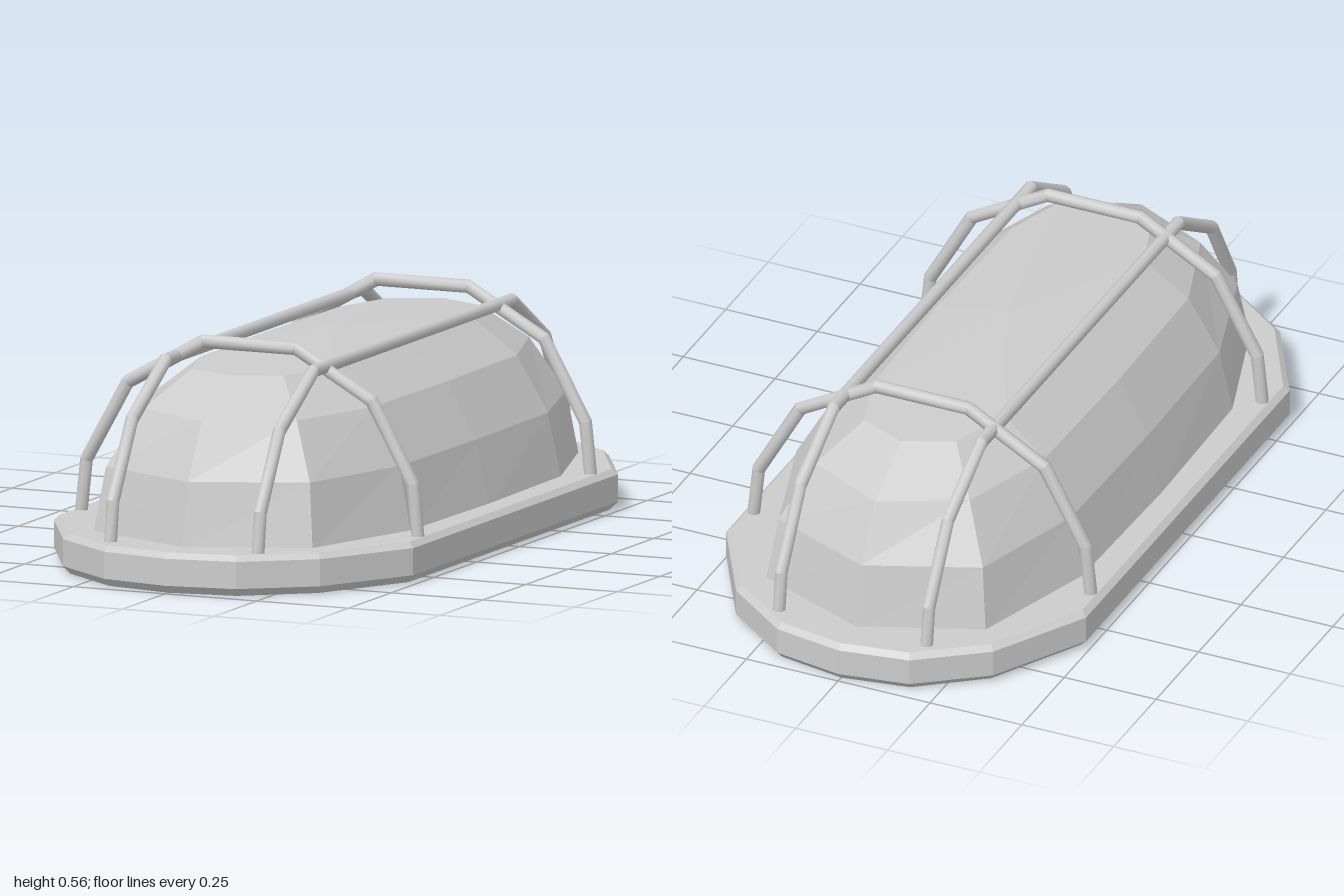
import * as THREE from 'three';

const flatGrey = new THREE.MeshStandardMaterial({ color: 0xcccccc, flatShading: true });
const smoothGrey = new THREE.MeshStandardMaterial({ color: 0xcccccc });

// Mirrors a quarter outline of [x, z] points (front to right side) into a closed loop.
function mirrorOutline(quarter) {
  const right = [...quarter];
  for (const [x, z] of [...quarter].reverse()) if (z > 0) right.push([x, -z]);
  const left = right.filter(([x]) => x > 0).reverse().map(([x, z]) => [-x, z]);
  return [...right, ...left];
}

function makeGeometry(positions, index) {
  const geometry = new THREE.BufferGeometry();
  geometry.setAttribute('position', new THREE.Float32BufferAttribute(positions, 3));
  geometry.setIndex(index);
  geometry.computeVertexNormals();
  return geometry;
}

// Skins rings { y, outline } from bottom to top and closes both ends with fans.
function loft(rings, topY) {
  const n = rings[0].outline.length;
  const positions = [];
  const index = [];
  for (const { y, outline } of rings) for (const [x, z] of outline) positions.push(x, y, z);
  const bottom = positions.length / 3;
  const top = bottom + 1;
  positions.push(0, rings[0].y, 0, 0, topY, 0);
  const last = (rings.length - 1) * n;
  for (let i = 0; i < n; i++) {
    const j = (i + 1) % n;
    for (let r = 0; r < last; r += n) {
      index.push(r + i, r + j, r + n + j, r + i, r + n + j, r + n + i);
    }
    index.push(bottom, j, i, top, last + i, last + j);
  }
  return makeGeometry(positions, index);
}

// Round bar along an open path in the XY plane, with mitred corners.
function mitredBar(path, radius, sides = 8) {
  const points = path.map(([x, y]) => new THREE.Vector2(x, y));
  const dirs = points.slice(1).map((p, i) => p.clone().sub(points[i]).normalize());
  const positions = [];
  const index = [];
  const addRing = (k) => {
    const before = dirs[Math.max(k - 1, 0)];
    const after = dirs[Math.min(k, dirs.length - 1)];
    const t = before.clone().add(after).normalize();
    const stretch = radius / t.dot(after);
    for (let s = 0; s < sides; s++) {
      const a = (s / sides) * Math.PI * 2;
      const m = Math.cos(a) * stretch;
      positions.push(points[k].x - t.y * m, points[k].y + t.x * m, Math.sin(a) * radius);
    }
  };
  // Each straight run has its own rings, so the bends stay crisp.
  dirs.forEach((_, k) => {
    const base = positions.length / 3;
    addRing(k);
    addRing(k + 1);
    for (let s = 0; s < sides; s++) {
      const a = base + s;
      const b = base + ((s + 1) % sides);
      index.push(a, b, b + sides, a, b + sides, a + sides);
    }
  });
  return makeGeometry(positions, index);
}

// Completes half an arch (foot to crown) by mirroring it, running -x to +x.
function arch(half) {
  return [...half.map(([x, y]) => [-x, y]), ...[...half].reverse()];
}

export function createModel() {
  const model = new THREE.Group();
  const add = (name, geometry, material) => {
    const mesh = new THREE.Mesh(geometry, material);
    mesh.name = name;
    model.add(mesh);
    return mesh;
  };

  // Base plate with bevelled rims
  const plate = mirrorOutline([[0, 1], [0.18, 0.97], [0.35, 0.845], [0.49, 0.6]]);
  const inset = (d) => plate.map(([x, z]) => [x * (1 - d / 0.49), z * (1 - d)]);
  add('basePlate', loft([
    { y: 0, outline: inset(0.018) },
    { y: 0.02, outline: plate },
    { y: 0.088, outline: plate },
    { y: 0.102, outline: inset(0.014) },
  ], 0.102), flatGrey);

  // Faceted lamp cover
  add('lampCover', loft([
    { y: 0.09, outline: mirrorOutline([[0, 0.9], [0.3, 0.78], [0.41, 0.44], [0.42, 0]]) },
    { y: 0.26, outline: mirrorOutline([[0, 0.865], [0.278, 0.75], [0.375, 0.435], [0.382, 0]]) },
    { y: 0.4, outline: mirrorOutline([[0, 0.785], [0.21, 0.68], [0.295, 0.425], [0.302, 0]]) },
    { y: 0.49, outline: mirrorOutline([[0, 0.63], [0.125, 0.575], [0.18, 0.41], [0.19, 0]]) },
  ], 0.52), flatGrey);

  // Guard hoops across the cover
  const hoop = mitredBar(arch([[0.46, 0.09], [0.445, 0.23], [0.332, 0.432], [0.125, 0.548]]), 0.017);
  for (const z of [-0.505, 0.505]) {
    add(z > 0 ? 'frontGuardHoop' : 'backGuardHoop', hoop, smoothGrey).position.z = z;
  }

  // Long guard bars running front to back
  const bar = mitredBar(arch([[0.902, 0.09], [0.887, 0.2], [0.777, 0.388], [0.58, 0.508]]), 0.017);
  for (const x of [-0.195, 0.207]) {
    const mesh = add(x > 0 ? 'leftGuardBar' : 'rightGuardBar', bar, smoothGrey);
    mesh.rotation.y = Math.PI / 2;
    mesh.position.x = x;
  }

  return model;
}
